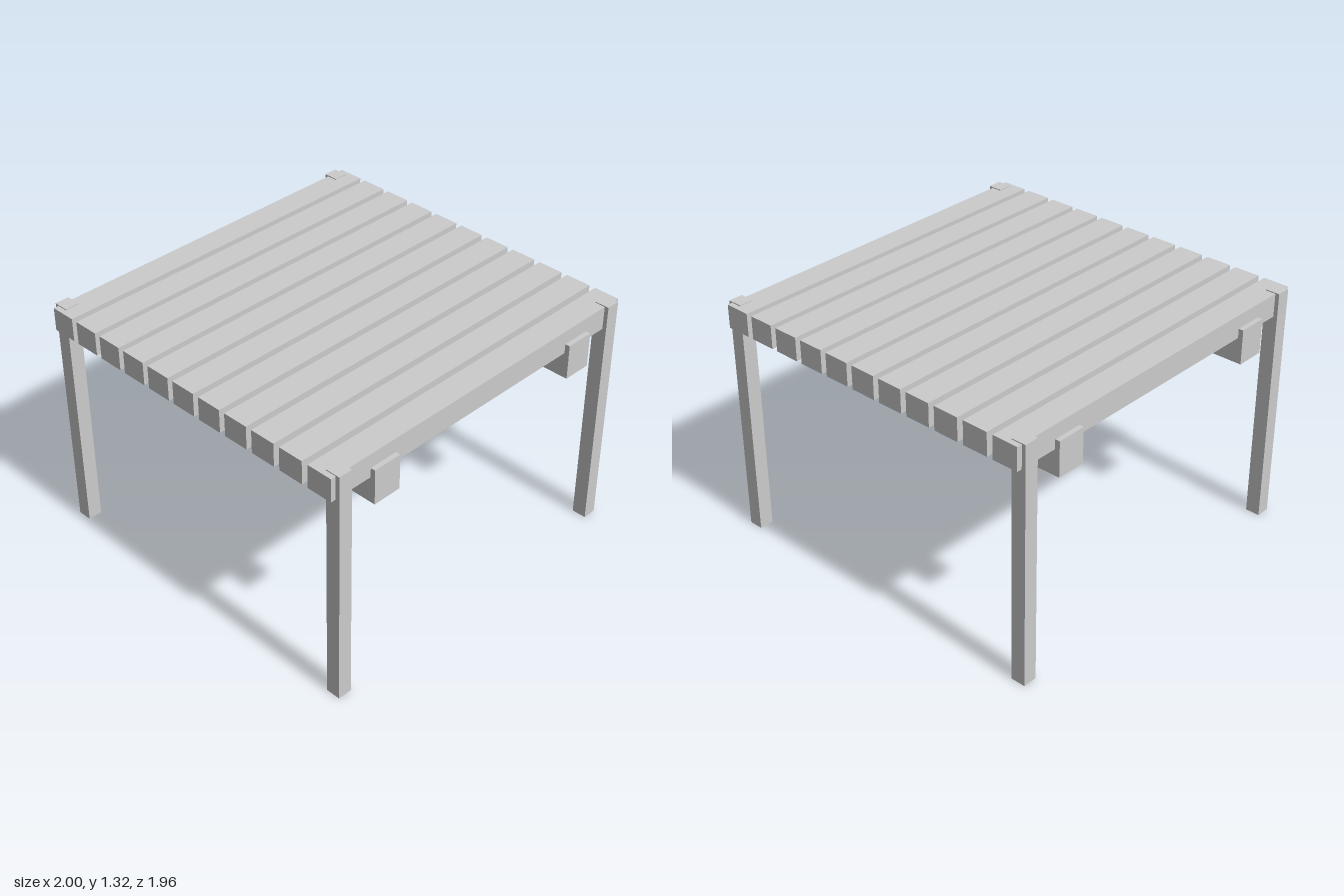
import * as THREE from 'three';

export function createModel() {
  const model = new THREE.Group();
  model.name = 'slattedTable';
  const material = new THREE.MeshStandardMaterial({ color: 0xcccccc, flatShading: true });

  // Box given by its size, its bottom height and its centre in plan
  function addBox(name, [w, h, d], x, bottom, z) {
    const mesh = new THREE.Mesh(new THREE.BoxGeometry(w, h, d), material);
    mesh.name = name;
    mesh.position.set(x, bottom + h / 2, z);
    model.add(mesh);
  }

  // Slats running across the top
  const slatCount = 11;
  const pitch = 0.176;
  for (let i = 0; i < slatCount; i++) {
    addBox('slat', [2, 0.127, 0.142], 0, 1.19, (i - (slatCount - 1) / 2) * pitch);
  }

  for (const side of [-1, 1]) {
    // Support beams, notched up into the slats
    addBox('supportBeam', [0.16, 0.189, 1.955], side * 0.675, 1.052, 0);

    // Corner legs, standing just proud of the slats
    for (const end of [-1, 1]) {
      addBox('leg', [0.078, 1.322, 0.08], side * 0.932, 0, end * 0.933);
    }
  }

  return model;
}
